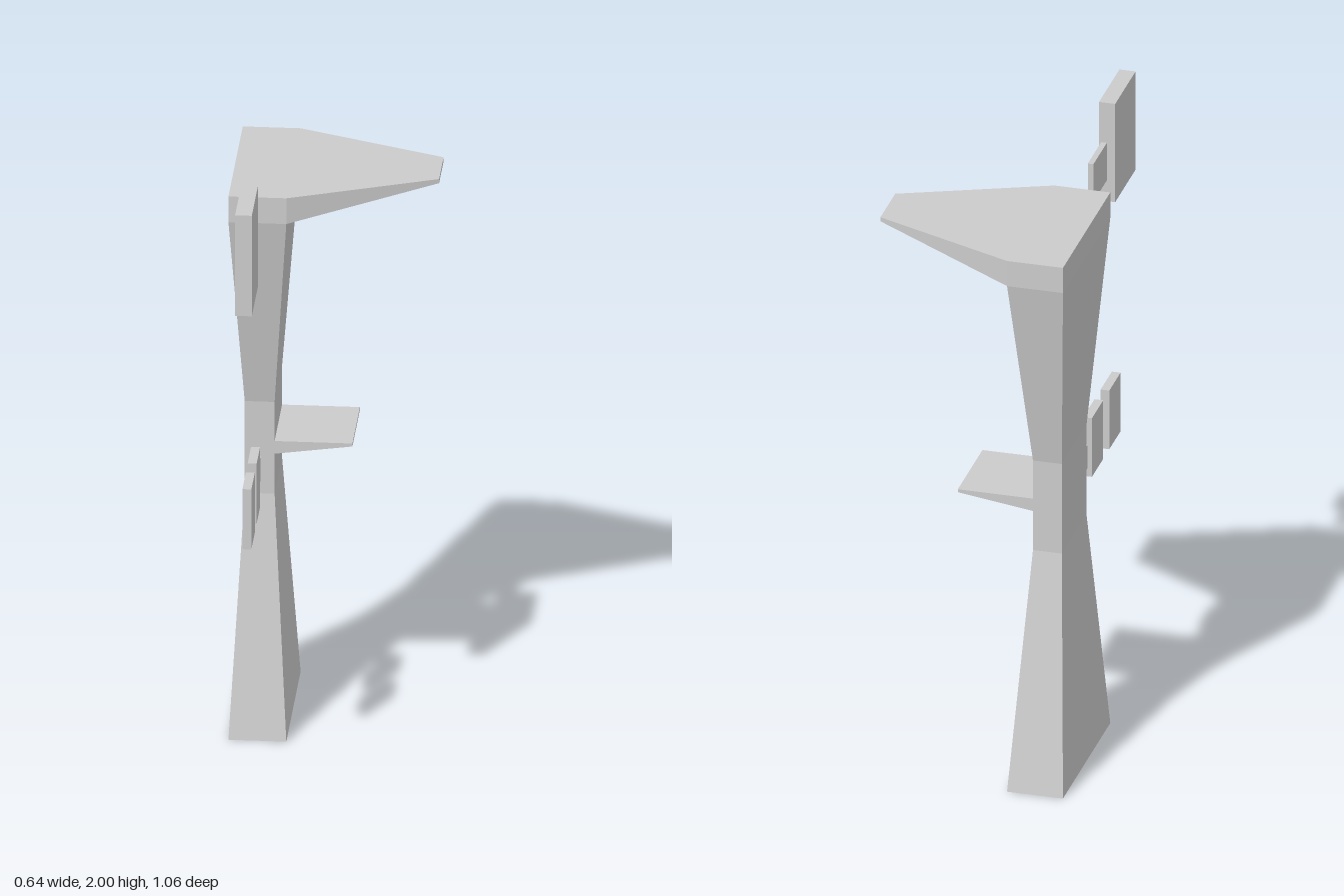
import * as THREE from 'three';

const CZ = -0.26; // centre line of the tower in z

// Joins four-cornered rings into a closed, flat-sided solid.
function loft(name, rings, material) {
  const pos = [];
  const quad = (a, b, c, d) => pos.push(...a, ...b, ...c, ...a, ...c, ...d);
  for (let i = 0; i < rings.length - 1; i++) {
    const r = rings[i], s = rings[i + 1];
    for (let j = 0; j < 4; j++) {
      const k = (j + 1) % 4;
      quad(r[j], r[k], s[k], s[j]);
    }
  }
  const first = rings[0], last = rings[rings.length - 1];
  quad(first[3], first[2], first[1], first[0]);
  quad(...last);
  const geo = new THREE.BufferGeometry();
  geo.setAttribute('position', new THREE.Float32BufferAttribute(pos, 3));
  geo.computeVertexNormals();
  const mesh = new THREE.Mesh(geo, material);
  mesh.name = name;
  return mesh;
}

// Horizontal ring at height y, for shapes that rise.
const levelRing = (y, x0, x1, hz) => [
  [x1, y, CZ + hz], [x1, y, CZ - hz], [x0, y, CZ - hz], [x0, y, CZ + hz],
];

// Upright ring at x, for shapes that reach out sideways.
const uprightRing = (x, y0, y1, hz) => [
  [x, y0, CZ - hz], [x, y1, CZ - hz], [x, y1, CZ + hz], [x, y0, CZ + hz],
];

export function createModel() {
  const group = new THREE.Group();
  group.name = 'platformTower';
  const grey = new THREE.MeshStandardMaterial({ color: 0xcccccc, flatShading: true });

  // Tower pinched to a straight waist
  group.add(loft('tower', [
    levelRing(0, -0.32, -0.14, 0.273),
    levelRing(0.78, -0.28, -0.187, 0.142),
    levelRing(1.09, -0.28, -0.187, 0.142),
    levelRing(1.75, -0.32, -0.14, 0.273),
  ], grey));

  // Top platform narrowing and thinning towards its tip
  group.add(loft('topPlatform', [
    uprightRing(-0.32, 1.75, 1.837, 0.273),
    uprightRing(-0.14, 1.75, 1.837, 0.273),
    uprightRing(0.32, 1.823, 1.837, 0.085),
  ], grey));

  // Wedge-shaped step at the waist
  group.add(loft('middleStep', [
    uprightRing(-0.187, 0.915, 0.958, 0.142),
    uprightRing(0.055, 0.948, 0.958, 0.142),
  ], grey));

  // Blank height-marker plates: [name, z0, z1, y0, y1, thickness]
  const plates = [
    ['upperMarkerLarge', 0.295, 0.53, 1.66, 2.0, 0.052],
    ['upperMarkerSmall', 0.105, 0.26, 1.75, 1.88, 0.018],
    ['lowerMarkerOuter', 0.27, 0.4, 0.815, 1.018, 0.028],
    ['lowerMarkerInner', 0.07, 0.2, 0.815, 1.018, 0.028],
    ['lowerMarkerSmall', -0.05, 0.05, 0.855, 0.935, 0.012],
  ];
  for (const [name, z0, z1, y0, y1, t] of plates) {
    const plate = new THREE.Mesh(new THREE.BoxGeometry(t, y1 - y0, z1 - z0), grey);
    plate.position.set(-0.231, (y0 + y1) / 2, (z0 + z1) / 2);
    plate.name = name;
    group.add(plate);
  }
  return group;
}
